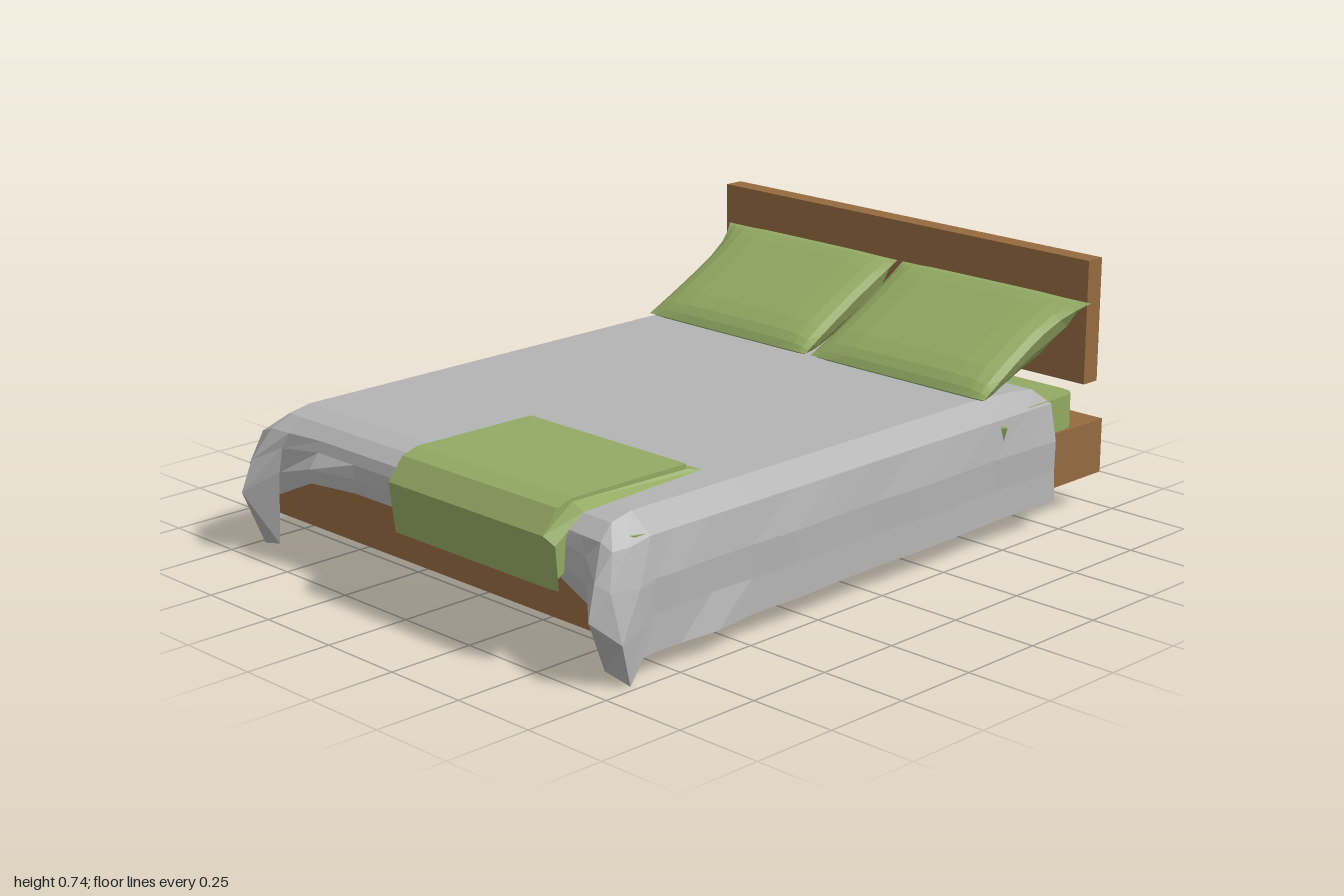
import * as THREE from 'three';

const wood = new THREE.MeshStandardMaterial({ color: 0x946b40, name: 'wood' });
const linen = new THREE.MeshStandardMaterial({ color: 0x93aa63, name: 'greenLinen', flatShading: true, side: THREE.DoubleSide });
const cover = new THREE.MeshStandardMaterial({ color: 0xb3b3b3, name: 'greyBlanket', flatShading: true, side: THREE.DoubleSide });

function part(name, geometry, material) {
  const mesh = new THREE.Mesh(geometry, material);
  mesh.name = name;
  return mesh;
}

// Box given by its lower and upper limits
function box(name, [x0, y0, z0], [x1, y1, z1], material) {
  const g = new THREE.BoxGeometry(x1 - x0, y1 - y0, z1 - z0);
  g.translate((x0 + x1) / 2, (y0 + y1) / 2, (z0 + z1) / 2);
  return part(name, g, material);
}

// Collects quads into one faceted geometry
function quadMesh(name, quads, material) {
  const pos = [];
  for (const [a, b, c, d] of quads) pos.push(...a, ...b, ...c, ...a, ...c, ...d);
  const g = new THREE.BufferGeometry();
  g.setAttribute('position', new THREE.Float32BufferAttribute(pos, 3));
  g.computeVertexNormals();
  return part(name, g, material);
}

// Mattress with rounded upright corners
function mattress() {
  const [x0, x1, w, r] = [-0.86, 0.89, 0.69, 0.05];
  const s = new THREE.Shape();
  s.moveTo(x0 + r, -w).lineTo(x1 - r, -w).quadraticCurveTo(x1, -w, x1, -w + r);
  s.lineTo(x1, w - r).quadraticCurveTo(x1, w, x1 - r, w).lineTo(x0 + r, w);
  s.quadraticCurveTo(x0, w, x0, w - r).lineTo(x0, -w + r).quadraticCurveTo(x0, -w, x0 + r, -w);
  const g = new THREE.ExtrudeGeometry(s, { depth: 0.1, bevelEnabled: false, curveSegments: 3 });
  g.rotateX(-Math.PI / 2).translate(0, 0.26, 0);
  return part('mattress', g, linen);
}

// Blanket: a flat top with a skirt of columns running around three sides
function blanket() {
  const sideXs = [0.76, 0.66, 0.5, 0.34, 0.18, 0.02, -0.14, -0.3, -0.46, -0.6, -0.72, -0.8];
  const sideColumns = (s) => sideXs.map((x, i) => {
    const wave = 0.004 * Math.sin(i * 1.9 + s);
    const top = i === 0 ? 0.382 : i === 1 ? 0.394 : 0.402;
    const out = s > 0 ? 0 : 0.008;
    const tuft = s > 0 && x === -0.6 ? 0.018 : 0;
    return [
      [x, top, s * (0.63 + out)], [x, 0.355, s * (0.7 + out)], [x, 0.25, s * (0.718 + out + wave)],
      [x, 0.16, s * (0.716 + out + wave)], [x, 0.077 - i * 0.0015, s * (0.72 + out + wave + tuft)],
    ];
  });
  // Folded corner that flares out at the foot
  const cornerColumns = (s) => [
    [[-0.87, 0.39, 0.635], [-0.87, 0.34, 0.695], [-0.86, 0.24, 0.725], [-0.85, 0.14, 0.725], [-0.85, 0.06, 0.725]],
    [[-0.87, 0.39, 0.635], [-0.92, 0.34, 0.69], [-0.95, 0.25, 0.715], [-0.94, 0.12, 0.745], [-0.9, 0, 0.73]],
    [[-0.87, 0.39, 0.62], [-0.92, 0.355, 0.65], [-0.97, 0.27, 0.68], [-1, 0.18, 0.69], [-0.91, 0.02, 0.65]],
    [[-0.87, 0.39, 0.58], [-0.915, 0.355, 0.58], [-0.925, 0.31, 0.6], [-0.93, 0.24, 0.61], [-0.92, 0.17, 0.63]],
  ].map((col) => col.map(([x, y, z]) => [x, y, z * s]));
  const foot = [0.45, 0.3, 0.15, 0, -0.15, -0.3, -0.45].map((z) => {
    const k = z === -0.45 ? 0.03 : 0;
    return [[-0.87, 0.39, z], [-0.908, 0.36, z], [-0.918, 0.33, z], [-0.92 - k, 0.29, z], [-0.915 - k, 0.25, z]];
  });
  const front = [...sideColumns(1), ...cornerColumns(1)];
  const back = [...sideColumns(-1), ...cornerColumns(-1)];
  const ring = [...front, ...foot, ...back.slice().reverse()];
  const quads = [];
  for (let i = 0; i + 1 < ring.length; i++)
    for (let j = 0; j < 4; j++)
      quads.push([ring[i][j], ring[i + 1][j], ring[i + 1][j + 1], ring[i][j + 1]]);
  for (let i = 0; i < sideXs.length; i++)
    quads.push([front[i][0], back[i][0], back[i + 1][0], front[i + 1][0]]);
  return quadMesh('blanket', quads, cover);
}

// Leaning pillow: two bulging sheets that meet at a seam with pulled-out corners
function headPillow(name, side) {
  const steps = [-1, -0.93, -0.82, -0.6, -0.3, 0, 0.3, 0.6, 0.82, 0.93, 1];
  const point = (i, j, face) => {
    const u = steps[i], v = steps[j];
    const x = 0.718 + 0.2 * u;
    const outer = Math.max(0, v * side);
    const z = side * 0.333 + v * (0.315 + 0.008 * u * u) + side * 0.05 * outer ** 4 * Math.max(0, u) ** 3;
    const seam = 0.51 + 0.105 * u;
    const bulge = (1 - u ** 8) * (1 - v ** 8);
    return [x, seam + bulge * (face > 0 ? 0.032 : -0.115 - 0.035 * u), z];
  };
  const quads = [];
  for (let i = 0; i + 1 < steps.length; i++)
    for (let j = 0; j + 1 < steps.length; j++) {
      const q = (f) => [point(i, j, f), point(i, j + 1, f), point(i + 1, j + 1, f), point(i + 1, j, f)];
      quads.push(q(1), q(-1).reverse());
    }
  return quadMesh(name, quads, linen);
}

// Flat cushion that folds down over the foot edge
function footCushion() {
  const group = new THREE.Group();
  group.name = 'footCushion';
  const outline = [[-0.51, 0.402], [-0.51, 0.432], [-0.9, 0.435], [-0.95, 0.42], [-0.998, 0.36],
    [-0.98, 0.22], [-0.93, 0.25], [-0.924, 0.33], [-0.91, 0.365], [-0.86, 0.398]];
  const g = new THREE.ExtrudeGeometry(new THREE.Shape(outline.map((p) => new THREE.Vector2(...p))),
    { depth: 0.585, bevelEnabled: false });
  g.translate(0, 0, -0.055);
  group.add(part('cushionBody', g, linen));
  // Sloping hems along the inner edge and the front edge
  group.add(quadMesh('cushionHem', [
    [[-0.51, 0.418, 0.53], [-0.465, 0.408, 0.54], [-0.465, 0.408, -0.055], [-0.51, 0.418, -0.055]],
    [[-0.9, 0.425, 0.53], [-0.9, 0.408, 0.57], [-0.465, 0.408, 0.54], [-0.51, 0.418, 0.53]],
    [[-0.998, 0.36, 0.53], [-0.99, 0.34, 0.565], [-0.9, 0.408, 0.57], [-0.9, 0.425, 0.53]],
    [[-0.98, 0.22, 0.53], [-0.975, 0.22, 0.56], [-0.99, 0.34, 0.565], [-0.998, 0.36, 0.53]],
  ], linen));
  return group;
}

// Small corner of the sheet that pokes out through the blanket's front side
function sheetTip() {
  const g = new THREE.ConeGeometry(0.012, 0.04, 4);
  g.rotateZ(Math.PI).translate(0.537, 0.317, 0.713);
  return part('sheetTip', g, linen);
}

export function createModel() {
  const model = new THREE.Group();
  model.name = 'bed';
  model.add(
    box('bedBase', [-0.89, 0.1, -0.71], [1, 0.26, 0.7], wood),
    box('headboard', [0.92, 0.375, -0.72], [0.98, 0.735, 0.69], wood),
    mattress(),
    blanket(),
    headPillow('leftPillow', 1),
    headPillow('rightPillow', -1),
    footCushion(),
    sheetTip(),
  );
  return model;
}
